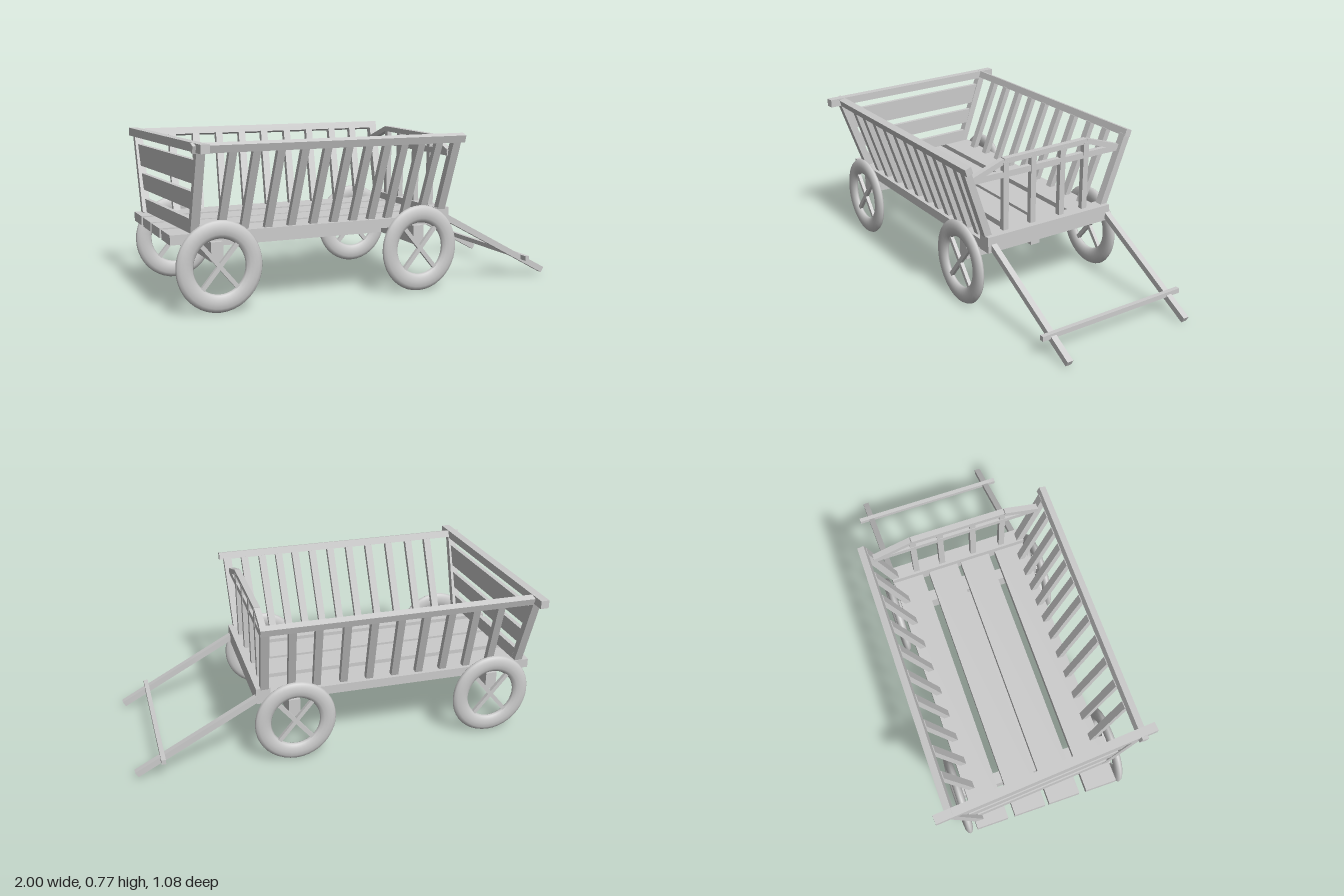
import * as THREE from 'three';

const mat = new THREE.MeshStandardMaterial({ color: 0xcccccc });
const V = (x, y, z) => new THREE.Vector3(x, y, z);
const UP = V(0, 1, 0), SIDE = V(0, 0, 1);

export function createModel() {
  const cart = new THREE.Group();
  cart.name = 'handcart';

  const add = (name, geometry, parent = cart) => {
    const mesh = new THREE.Mesh(geometry, mat);
    mesh.name = name;
    parent.add(mesh);
    return mesh;
  };

  // Axis-aligned timber given by its min and max on each axis
  const box = (name, [x0, x1], [y0, y1], [z0, z1]) => {
    add(name, new THREE.BoxGeometry(x1 - x0, y1 - y0, z1 - z0))
      .position.set((x0 + x1) / 2, (y0 + y1) / 2, (z0 + z1) / 2);
  };

  // Timber running from a to b; h is measured along "up", w across it
  const bar = (name, a, b, w, h, up = UP, parent = cart) => {
    const dir = b.clone().sub(a);
    const mesh = add(name, new THREE.BoxGeometry(w, h, dir.length()), parent);
    const z = dir.normalize();
    const x = new THREE.Vector3().crossVectors(up, z).normalize();
    const y = new THREE.Vector3().crossVectors(z, x);
    mesh.quaternion.setFromRotationMatrix(new THREE.Matrix4().makeBasis(x, y, z));
    mesh.position.copy(a).add(b).multiplyScalar(0.5);
  };

  // Floor planks and the front cross board
  for (const z of [[-0.355, -0.2], [-0.165, -0.01], [0.01, 0.165], [0.2, 0.355]])
    box('floorPlank', [-1, 0.34], [0.32, 0.365], z);
  box('frontBoard', [0.335, 0.405], [0.32, 0.4], [-0.36, 0.36]);

  // Undercarriage
  box('centreBeam', [-0.83, 0.29], [0.235, 0.283], [-0.018, 0.034]);
  for (const x of [-0.795, 0.222])
    box('axleBeam', [x - 0.028, x + 0.028], [0.235, 0.325], [-0.375, 0.385]);

  // Wheels: flattened tyre with two crossed spoke bars
  for (const x of [-0.79, 0.22]) for (const z of [-0.387, 0.4]) {
    const wheel = new THREE.Group();
    wheel.name = 'wheel';
    const tyre = add('tyre', new THREE.TorusGeometry(0.164, 0.041, 12, 40), wheel);
    tyre.scale.set(0.98, 1.03, 0.5);
    for (const s of [-1, 1])
      bar('spoke', V(-0.095 * s, -0.115, 0), V(0.095 * s, 0.115, 0), 0.02, 0.018, SIDE, wheel);
    wheel.position.set(x, 0.216, z);
    cart.add(wheel);
  }

  // Sloping slatted sides with a tilted top rail
  const sides = [
    [1, -0.925, 0.42, [-0.76, -0.65, -0.535, -0.42, -0.31, -0.205, -0.105, -0.01, 0.08, 0.17, 0.265]],
    [-1, -0.96, 0.4, [-0.795, -0.67, -0.545, -0.42, -0.295, -0.165, -0.035, 0.1, 0.225]],
  ];
  for (const [s, x0, x1, slats] of sides) {
    bar('topRail', V(x0, 0.753, 0.467 * s), V(x1, 0.753, 0.467 * s), 0.034, 0.036, V(0, 0.95, 0.31 * s));
    for (const x of slats)
      bar('sideSlat', V(x, 0.36, 0.32 * s), V(x + 0.022, 0.74, 0.455 * s), 0.036, 0.028, SIDE);
    // Corner posts
    const back = -0.917 + 0.03 * s;
    bar('rearPost', V(back, 0.36, 0.33 * s), V(back, 0.74, 0.463 * s), 0.04, 0.036, SIDE);
    bar('frontPost', V(0.362, 0.39, 0.34 * s), V(0.378, 0.745, 0.463 * s), 0.04, 0.036, SIDE);
  }

  // Tailboard: tapered planks under a long top bar, set slightly askew
  const skew = (z) => -0.92 + 0.065 * z;
  const halfWidth = (y) => 0.33 + (y - 0.4) * 0.35;
  for (const [y0, y1] of [[0.365, 0.43], [0.475, 0.555], [0.592, 0.698]]) {
    const w0 = halfWidth(y0), w1 = halfWidth(y1);
    const shape = new THREE.Shape([
      new THREE.Vector2(-w0, y0), new THREE.Vector2(w0, y0),
      new THREE.Vector2(w1, y1), new THREE.Vector2(-w1, y1),
    ]);
    const plank = add('tailPlank', new THREE.ExtrudeGeometry(shape, { depth: 0.022, bevelEnabled: false }));
    plank.rotation.y = Math.PI / 2 + Math.atan(0.065);
    plank.position.x = -0.927;
  }
  bar('tailTopBar', V(skew(-0.54), 0.755, -0.54), V(skew(0.54), 0.755, 0.54), 0.042, 0.04);

  // Front gate: uprights, cross rail and an arched top rail
  for (const [z, top] of [[0.24, 0.74], [0.085, 0.745], [-0.085, 0.748], [-0.225, 0.745]])
    bar('gateSlat', V(0.36, 0.39, z), V(0.365, top, z), 0.026, 0.03, SIDE);
  bar('gateRail', V(0.362, 0.68, -0.43), V(0.362, 0.68, 0.43), 0.026, 0.03);
  const arch = [V(0.362, 0.684, 0.425), V(0.362, 0.745, 0.25), V(0.362, 0.75, -0.23), V(0.362, 0.684, -0.425)];
  for (let i = 0; i < 3; i++) bar('gateArch', arch[i], arch[i + 1], 0.03, 0.026);

  // Drawbar: two shafts joined by a cross handle
  for (const z of [0.328, -0.35])
    bar('shaft', V(0.395, 0.35, z), V(0.992, 0.024, z), 0.03, 0.03);
  bar('handle', V(0.865, 0.107, -0.415), V(0.865, 0.104, 0.385), 0.022, 0.024);

  return cart;
}
